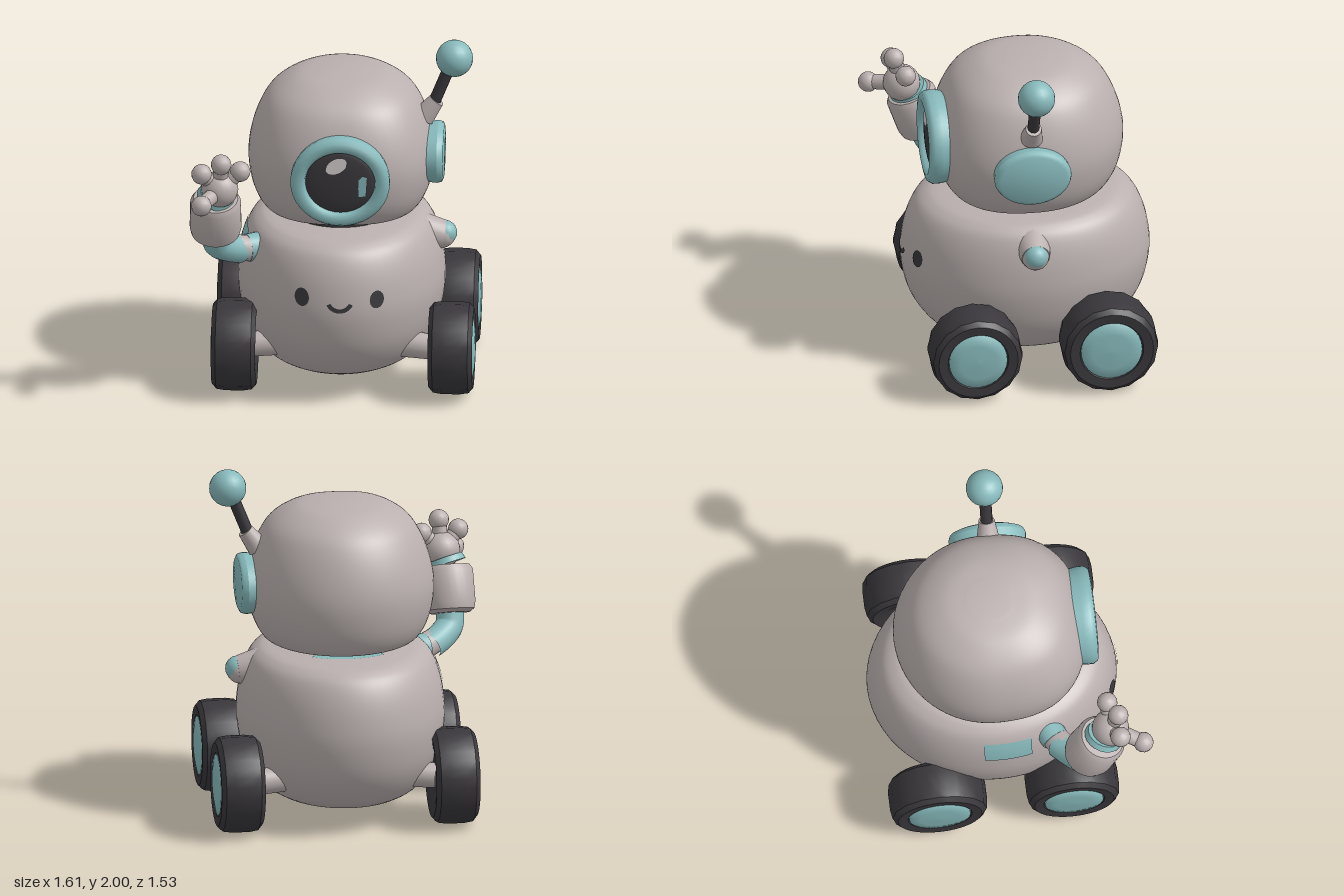
import * as THREE from 'three';
import { toCreasedNormals } from 'three/addons/utils/BufferGeometryUtils.js';

const mat = (name, color) => Object.assign(new THREE.MeshStandardMaterial({ color }), { name });
const shell = mat('pale shell', 0xbab0af);
const teal = mat('teal trim', 0x88babc);
const dark = mat('dark rubber', 0x39373b);
const glint = mat('lens glint', 0xd9d3d2);

const V = (x, y, z) => new THREE.Vector3(x, y, z);

function add(parent, name, geometry, material, pos = [0, 0, 0], scale = [1, 1, 1]) {
  const m = new THREE.Mesh(geometry, material);
  m.name = name;
  m.position.set(...pos);
  m.scale.set(...scale);
  parent.add(m);
  return m;
}

// Cylinder running between two points
function rod(parent, name, a, b, ra, rb, material, sides = 20) {
  const d = b.clone().sub(a);
  const geo = toCreasedNormals(new THREE.CylinderGeometry(rb, ra, d.length(), sides), 0.7);
  const m = add(parent, name, geo, material, a.clone().lerp(b, 0.5).toArray());
  m.quaternion.setFromUnitVectors(V(0, 1, 0), d.normalize());
  return m;
}

// Smooth outline: pairs of [width factor, height]
const smooth = (pts) => new THREE.SplineCurve(pts.map((p) => new THREE.Vector2(...p))).getPoints(48);

// Oval lathe, with the front half optionally squared off by an exponent
function ovalBody(profile, hx, hz, power) {
  const outline = [new THREE.Vector2(0, profile[0].y), ...profile, new THREE.Vector2(0, profile.at(-1).y)];
  const geo = new THREE.LatheGeometry(outline, 64);
  const p = geo.attributes.position;
  for (let i = 0; i < p.count; i++) {
    let x = p.getX(i), z = p.getZ(i);
    const r = Math.hypot(x, z);
    if (z > 0 && r > 0) {
      const k = r / Math.pow(Math.pow(Math.abs(x), power) + Math.pow(z, power), 1 / power);
      x *= k;
      z *= k;
    }
    p.setXYZ(i, x * hx, p.getY(i), z * hz);
  }
  return toCreasedNormals(geo, 0.6);
}

const BODY = { cx: 0.03, cz: -0.065, hx: 0.585, hz: 0.705 };
const bodyProfile = smooth([[0.63, 0.13], [0.76, 0.18], [0.88, 0.28], [0.96, 0.4], [1, 0.56],
  [0.985, 0.7], [0.94, 0.82], [0.87, 0.91], [0.78, 0.955], [0.7, 0.97]]);
const headProfile = smooth([[0.71, 1.01], [0.84, 1.04], [0.95, 1.15], [1, 1.31], [0.965, 1.46],
  [0.86, 1.61], [0.72, 1.71], [0.48, 1.785], [0.22, 1.81]]);

// Width factor of the body at a height
function bodyWidth(y) {
  const i = Math.max(1, bodyProfile.findIndex((p) => p.y >= y));
  const a = bodyProfile[i - 1], b = bodyProfile[i];
  return a.x + (b.x - a.x) * (y - a.y) / (b.y - a.y);
}

// Lays a flat geometry onto the body's front or its right side
function wrap(geo, side) {
  const p = geo.attributes.position;
  for (let i = 0; i < p.count; i++) {
    const y = p.getY(i), f = bodyWidth(y);
    if (side === 'front') {
      const u = (p.getX(i) - BODY.cx) / BODY.hx;
      p.setZ(i, BODY.cz + BODY.hz * Math.sqrt(f * f - u * u) + 0.006);
    } else {
      const u = (p.getZ(i) - BODY.cz) / BODY.hz;
      p.setX(i, BODY.cx - BODY.hx * Math.sqrt(f * f - u * u) - 0.006);
    }
  }
  geo.computeVertexNormals();
  return geo;
}

function ellipse(x, y, rx, ry, turn = 0) {
  const s = new THREE.Shape();
  s.absellipse(x, y, rx, ry, 0, Math.PI * 2, false, turn);
  return new THREE.ShapeGeometry(s, 12);
}

function buildWheel(parent, s, z, r) {
  const wheel = new THREE.Group();
  wheel.name = 'wheel';
  wheel.position.set(s > 0 ? 0.665 : -0.555, 0.28, z);
  // Tyre with a shallow scalloped tread
  const pts = [[0, -0.1], [0.5, -0.1], [0.62, -0.115], [0.86, -0.125], [0.97, -0.1], [1, -0.05],
    [1, 0.05], [0.97, 0.1], [0.86, 0.125], [0.66, 0.12], [0.62, 0.1], [0, 0.1]];
  const tyre = new THREE.LatheGeometry(pts.map(([a, b]) => new THREE.Vector2(a * r, b)), 32);
  const p = tyre.attributes.position;
  for (let i = 0; i < p.count; i++) {
    const seg = Math.floor(i / pts.length);
    const k = seg % 2 && Math.hypot(p.getX(i), p.getZ(i)) > r * 0.9 ? 0.975 : 1;
    p.setXYZ(i, p.getX(i) * k, p.getY(i), p.getZ(i) * k);
  }
  add(wheel, 'tyre', toCreasedNormals(tyre, 0.5), dark);
  // Slightly domed hub on the outer face
  const hub = [[0.64, 0.09], [0.63, 0.122], [0.4, 0.132], [0, 0.136]];
  add(wheel, 'hub', new THREE.LatheGeometry(hub.map(([a, b]) => new THREE.Vector2(a * r, b)), 28), teal);
  wheel.rotation.z = -s * Math.PI / 2;
  parent.add(wheel);
  // Axle
  const x = s > 0 ? 0.57 : -0.46;
  rod(parent, 'axle', V(x - s * 0.28, 0.3, z * 0.85), V(x, 0.28, z), 0.085, 0.07, shell);
}

function buildArm(parent) {
  const arm = new THREE.Group();
  arm.name = 'raisedArm';
  parent.add(arm);
  const path = new THREE.CatmullRomCurve3([V(-0.52, 0.83, 0.25), V(-0.59, 0.86, 0.31),
    V(-0.65, 0.91, 0.37), V(-0.66, 1.0, 0.41)]);
  rod(arm, 'shoulderJoint', V(-0.4, 0.83, 0.19), V(-0.49, 0.83, 0.235), 0.08, 0.08, teal);
  rod(arm, 'upperArm', V(-0.47, 0.825, 0.225), V(-0.58, 0.86, 0.3), 0.075, 0.07, shell);
  add(arm, 'elbow', new THREE.TubeGeometry(path, 20, 0.08, 16), teal);
  // Forearm sleeve with softened rims
  const foot = V(-0.66, 0.975, 0.39), wrist = V(-0.655, 1.235, 0.485);
  const axis = wrist.clone().sub(foot);
  const sleeve = new THREE.LatheGeometry([[0, 0], [0.11, 0], [0.137, 0.02], [0.146, 0.06], [0.143, 0.24],
    [0.125, 0.27], [0, 0.275]].map((q) => new THREE.Vector2(...q)), 28);
  const m = add(arm, 'forearm', toCreasedNormals(sleeve, 0.7), shell, foot.toArray());
  m.quaternion.setFromUnitVectors(V(0, 1, 0), axis.clone().normalize());
  rod(arm, 'wristBand', wrist, V(-0.645, 1.268, 0.498), 0.11, 0.1, teal);
  // Hand and fingers
  const palm = V(-0.63, 1.305, 0.53);
  add(arm, 'palm', new THREE.SphereGeometry(0.105, 20, 14), shell, palm.toArray());
  for (const tip of [V(-0.62, 1.47, 0.575), V(-0.515, 1.41, 0.525), V(-0.73, 1.41, 0.575), V(-0.725, 1.27, 0.705)]) {
    rod(arm, 'finger', palm, tip, 0.045, 0.042, shell, 12);
    add(arm, 'fingertip', new THREE.SphereGeometry(0.058, 14, 10), shell, tip.toArray());
  }
}

function buildEye(parent) {
  const eye = new THREE.Group();
  eye.name = 'cameraEye';
  eye.position.set(0.045, 1.335, 0);
  eye.scale.set(1, 0.93, 1);
  parent.add(eye);
  // Rim, lathed around z
  const rim = [[0.26, 0.33], [0.28, 0.44], [0.28, 0.485], [0.262, 0.51], [0.225, 0.517], [0.2, 0.5], [0.19, 0.45]];
  const geo = new THREE.LatheGeometry(rim.map((q) => new THREE.Vector2(...q)), 40);
  add(eye, 'rim', geo.rotateX(Math.PI / 2), teal);
  const lens = new THREE.SphereGeometry(0.2, 32, 10, 0, Math.PI * 2, 0, Math.PI / 2).rotateX(Math.PI / 2);
  add(eye, 'lens', lens, dark, [0, 0, 0.47], [1, 1, 0.15]);
  add(eye, 'highlight', ellipse(0, 0, 0.068, 0.045, 0.65), glint, [-0.02, 0.115, 0.502]);
  const bar = new THREE.Shape([[-0.025, -0.07], [0.02, -0.065], [0.028, 0.06], [0, 0.07], [-0.022, 0.045]]
    .map((q) => new THREE.Vector2(...q)));
  add(eye, 'reflection', new THREE.ShapeGeometry(bar), teal, [0.127, -0.015, 0.503]);
}

export function createModel() {
  const robot = new THREE.Group();
  robot.name = 'robot';

  // Body, neck and head
  add(robot, 'body', ovalBody(bodyProfile, BODY.hx, BODY.hz, 2), shell, [BODY.cx, 0, BODY.cz]);
  add(robot, 'neck', new THREE.CylinderGeometry(0.3, 0.3, 0.08, 40), dark, [0.025, 0.99, -0.045]);
  const collar = new THREE.RingGeometry(0.3, 0.36, 16, 1, 0.96, 1.22).rotateX(-Math.PI / 2);
  add(robot, 'collarTrim', collar, teal, [0.025, 0.975, -0.045]);
  add(robot, 'head', ovalBody(headProfile, 0.525, 0.54, 2.5), shell, [0.03, 0, -0.08]);
  buildEye(robot);

  // Face painted on the body
  add(robot, 'faceEye', wrap(ellipse(-0.165, 0.685, 0.041, 0.052), 'front'), dark);
  add(robot, 'faceEye', wrap(ellipse(0.257, 0.672, 0.039, 0.05), 'front'), dark);
  const smile = new THREE.Shape();
  smile.absarc(0.05, 0.69, 0.083, -Math.PI / 2 - 1.1, -Math.PI / 2 + 1.1, false);
  smile.absarc(0.05, 0.69, 0.058, -Math.PI / 2 + 1.1, -Math.PI / 2 - 1.1, true);
  add(robot, 'smile', wrap(new THREE.ShapeGeometry(smile, 10), 'front'), dark);

  // Ear disc
  const ear = [[0, -0.08], [0.95, -0.08], [1, 0.02], [0.96, 0.045], [0.85, 0.055], [0, 0.058]];
  const earGeo = new THREE.LatheGeometry(ear.map((q) => new THREE.Vector2(...q)), 32);
  add(robot, 'ear', toCreasedNormals(earGeo, 0.8), teal, [0.553, 1.33, -0.025], [0.17, 1, 0.22])
    .rotation.z = -Math.PI / 2;

  // Antenna
  rod(robot, 'antennaBase', V(0.49, 1.54, -0.03), V(0.565, 1.64, -0.03), 0.065, 0.045, shell);
  rod(robot, 'antennaStalk', V(0.54, 1.6, -0.03), V(0.64, 1.85, -0.03), 0.034, 0.034, dark, 12);
  add(robot, 'antennaBall', new THREE.SphereGeometry(0.105, 20, 14), teal, [0.665, 1.895, -0.03]);

  // Left shoulder stub, right shoulder patch and raised arm
  rod(robot, 'shoulderStub', V(0.48, 0.84, -0.035), V(0.61, 0.825, -0.035), 0.11, 0.08, shell);
  add(robot, 'shoulderBall', new THREE.SphereGeometry(0.078, 18, 12), shell, [0.595, 0.825, -0.035]);
  add(robot, 'shoulderCap', new THREE.SphereGeometry(0.07, 18, 12), teal, [0.61, 0.835, -0.035]);
  const patch = new THREE.PlaneGeometry(0.27, 0.14, 10, 6).rotateY(-Math.PI / 2).translate(0, 0.81, -0.035);
  add(robot, 'shoulderPatch', wrap(patch, 'side'), teal);
  buildArm(robot);

  // Wheels
  for (const s of [-1, 1]) {
    buildWheel(robot, s, 0.32, 0.262);
    buildWheel(robot, s, -0.44, 0.275);
  }
  return robot;
}
